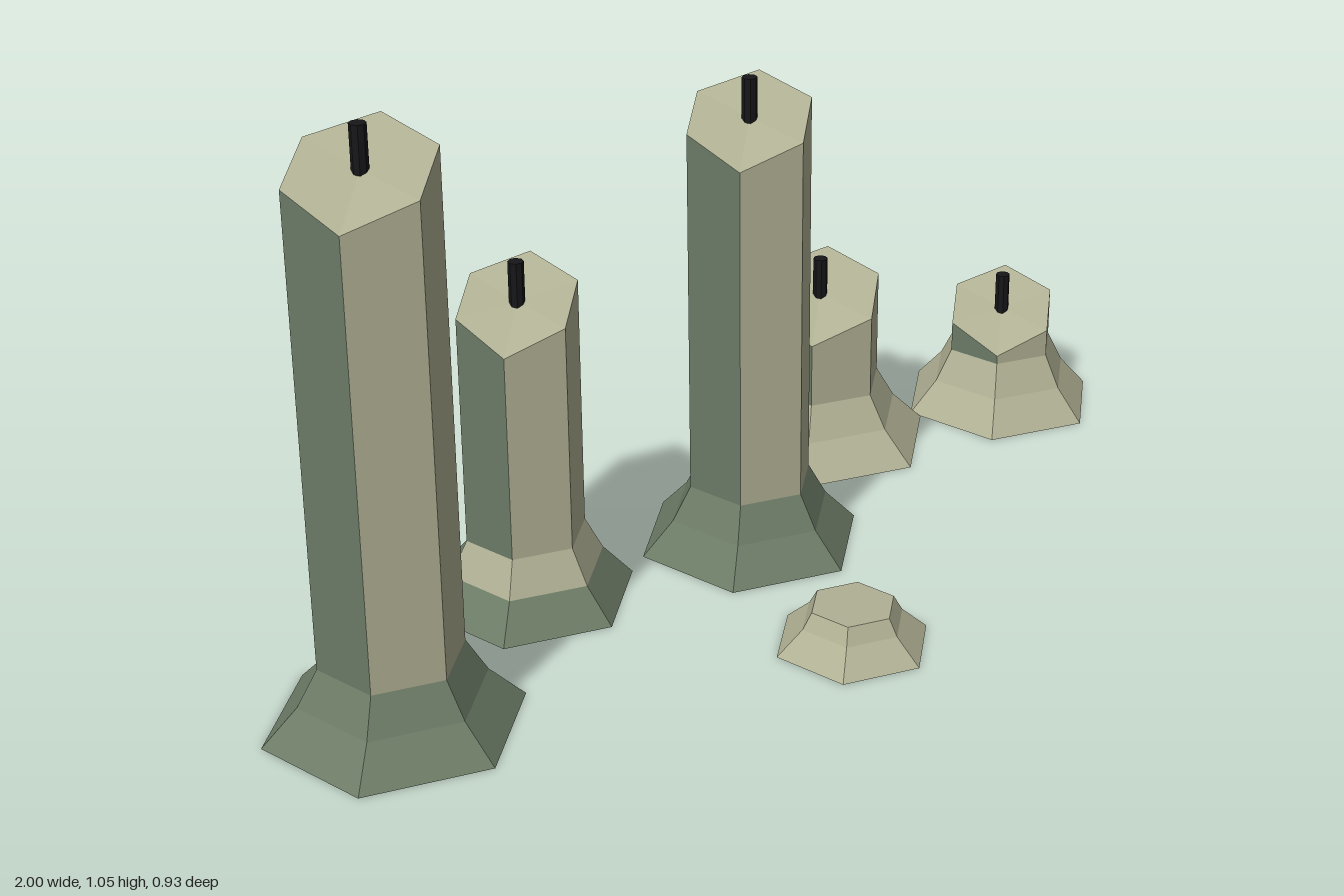
import * as THREE from 'three';

const wax = new THREE.MeshStandardMaterial({ color: 0xb0b094 });
wax.name = 'paleWax';
const moss = new THREE.MeshStandardMaterial({ color: 0x6c7b66 });
moss.name = 'mossGreen';
const black = new THREE.MeshStandardMaterial({ color: 0x17171a });
black.name = 'wickBlack';
const materials = [wax, moss];
const WAX = 0, MOSS = 1, SIDES = 6;

// Height offsets of the slanted rim, from the front corner round by the left
const SLANT = [-0.022, 0.02, 0.046, 0.021, -0.017, -0.06];

// One hexagonal ring with corners on the z axis; slanted if asked
function ring(r, y, slanted = false) {
  return Array.from({ length: SIDES }, (_, i) => {
    const a = (i / SIDES) * Math.PI * 2;
    return new THREE.Vector3(r * Math.sin(a), y + (slanted ? SLANT[i] : 0), r * Math.cos(a));
  });
}

// Faceted hexagonal body from stacked rings, coloured by level and side
function hexBody(name, rings, colourOf, { top = null, bottom = null } = {}) {
  const pos = [];
  const geo = new THREE.BufferGeometry();
  const add = (colour, ...pts) => {
    geo.addGroup(pos.length / 3, pts.length, colour);
    pts.forEach((p) => pos.push(p.x, p.y, p.z));
  };
  const centre = (pts) =>
    pts.reduce((s, p) => s.add(p), new THREE.Vector3()).divideScalar(SIDES);
  const first = rings[0], last = rings[rings.length - 1];
  for (let i = 0; i < SIDES; i++) {
    const j = (i + 1) % SIDES;
    for (let l = 0; l < rings.length - 1; l++) {
      const lo = rings[l], hi = rings[l + 1];
      add(colourOf(l, i), lo[i], lo[j], hi[j], lo[i], hi[j], hi[i]);
    }
    if (top !== null) add(top, centre(last), last[i], last[j]);
    if (bottom !== null) add(bottom, centre(first), first[j], first[i]);
  }
  geo.setAttribute('position', new THREE.Float32BufferAttribute(pos, 3));
  geo.computeVertexNormals();
  const mesh = new THREE.Mesh(geo, materials);
  mesh.name = name;
  return mesh;
}

// Candle with a flared foot, slanted top and wick
function candle(name, x, z, R, h, lower, upper) {
  const g = new THREE.Group();
  g.name = name;
  g.position.set(x, 0, z);
  const r = R * 0.555;
  g.add(hexBody('flaredFoot', [ring(R, 0), ring(R * 0.72, 0.063), ring(r, 0.127)],
    (level) => (level === 0 ? lower : upper), { bottom: MOSS }));
  // The two faces turned to the back right are mossy
  g.add(hexBody('shaft', [ring(r, 0.127), ring(r, h, true)],
    (_, side) => (side === 3 || side === 4 ? MOSS : WAX), { top: WAX }));
  const wick = new THREE.Mesh(new THREE.CylinderGeometry(0.014, 0.014, 0.085, 8).toNonIndexed(), black);
  wick.geometry.computeVertexNormals();
  wick.name = 'wick';
  wick.position.y = h + 0.0305;
  g.add(wick);
  return g;
}

// Low melted stub with a flat top
function stub(name, x, z, R) {
  const m = hexBody(name, [ring(R, 0), ring(R * 0.665, 0.044), ring(R * 0.545, 0.074)],
    () => WAX, { top: WAX, bottom: MOSS });
  m.position.set(x, 0, z);
  return m;
}

export function createModel() {
  const model = new THREE.Group();
  model.name = 'candleCluster';
  model.add(
    candle('tallestCandle', -0.805, -0.124, 0.225, 0.98, MOSS, MOSS),
    candle('mediumCandle', -0.36, -0.236, 0.198, 0.574, MOSS, WAX),
    candle('tallCandle', 0.047, -0.05, 0.212, 0.833, MOSS, MOSS),
    candle('shortCandle', 0.457, -0.198, 0.226, 0.314, WAX, WAX),
    candle('shortestCandle', 0.826, -0.011, 0.199, 0.204, WAX, WAX),
    stub('frontStub', -0.137, 0.322, 0.142),
    stub('backStub', 0.676, -0.344, 0.12),
  );
  return model;
}
